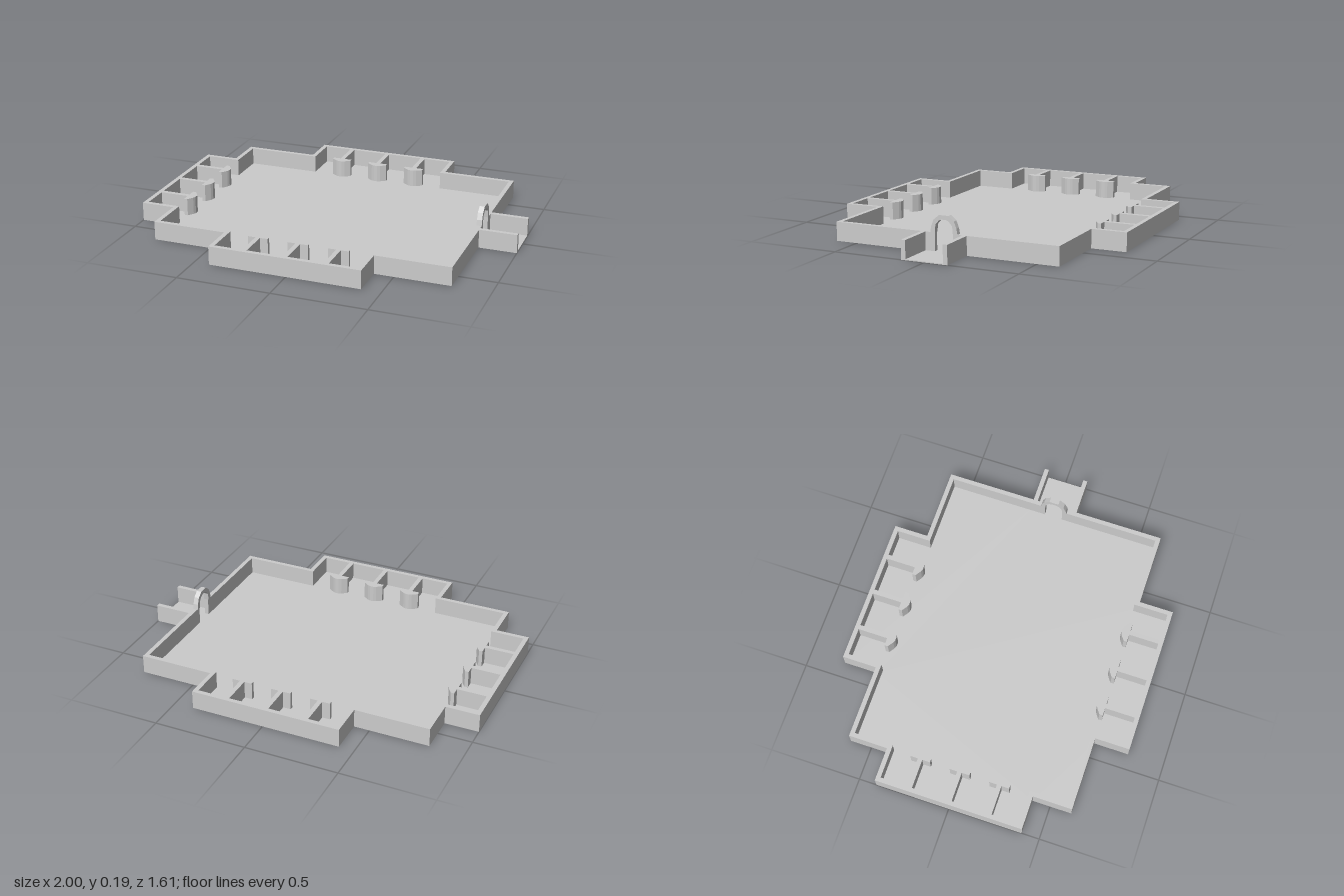
import * as THREE from 'three';

const FLOOR = 0.005, TOP = 0.1, T = 0.024, EAST = 0.797, MID = -0.0105;

export function createModel() {
  const group = new THREE.Group();
  group.name = 'walledHall';
  const material = new THREE.MeshStandardMaterial({ color: 0xcccccc, flatShading: true });

  const add = (name, geometry) => {
    const mesh = new THREE.Mesh(geometry, material);
    mesh.name = name;
    group.add(mesh);
    return mesh;
  };
  const toShape = (points) => new THREE.Shape(points.map(([a, b]) => new THREE.Vector2(a, b)));
  // Extrudes a plan outline of [x, z] points upward from y0 to y1
  const slab = (points, y0, y1) =>
    new THREE.ExtrudeGeometry(toShape(points.map(([x, z]) => [x, -z])), { depth: y1 - y0, bevelEnabled: false })
      .rotateX(-Math.PI / 2)
      .translate(0, y0, 0);
  const mirrored = (points) => [...points, ...points.map(([x, z]) => [x, -z]).reverse()];

  // Half of the stepped outline, from the doorway round to the west alcove
  const outer = [
    [EAST, 0.05], [EAST, 0.617], [0.396, 0.617], [0.396, 0.805], [-0.417, 0.805],
    [-0.417, 0.617], [-0.818, 0.617], [-0.818, 0.404], [-1, 0.404],
  ];
  const inner = outer.map(([x, z], i) => [x - Math.sign(x) * T, i ? z - T : z]);

  // Floor, including the porch
  add('floor', slab(mirrored([[1, 0.126], [EAST, 0.126], ...outer.slice(1)]), 0, FLOOR));

  // Outer wall, broken by the doorway on the east side
  add('outerWall', slab([...mirrored(outer), ...mirrored(inner).reverse()], FLOOR, TOP));

  // Porch side walls
  for (const s of [1, -1]) {
    add('porchWall', new THREE.BoxGeometry(1 - EAST, TOP - FLOOR, T))
      .position.set((1 + EAST) / 2, (TOP + FLOOR) / 2, s * 0.114);
  }

  // Alcove divider: thin stem ending in a wide cap with a rounded nose (local +z faces the hall)
  const dividerHalf = [[0.0125, -0.17], [0.0125, 0], [0.055, 0], [0.055, 0.019], [0.025, 0.04], [0.01, 0.046]];
  const divider = slab(
    [...dividerHalf, ...dividerHalf.map(([x, z]) => [-x, z]).reverse()].reverse(), FLOOR, TOP);
  for (const offset of [-0.219, 0, 0.219]) {
    add('backDivider', divider).position.set(MID + offset, 0, -0.617);
    const front = add('frontDivider', divider);
    front.position.set(MID + offset, 0, 0.617);
    front.rotation.y = Math.PI;
    const side = add('sideDivider', divider);
    side.position.set(-0.818, 0, offset);
    side.rotation.y = Math.PI / 2;
  }

  // Faceted arch over the doorway
  const archOuter = [[0.075, TOP], [0.07, 0.13], [0.056, 0.165], [0.026, 0.19]];
  const archInner = [[0.05, TOP], [0.046, 0.14], [0.027, 0.162], [0.012, 0.168]];
  const span = (half) => [...half, ...half.map(([z, y]) => [-z, y]).reverse()];
  add('doorArch',
    new THREE.ExtrudeGeometry(toShape([...span(archOuter), ...span(archInner).reverse()]),
      { depth: 0.028, bevelEnabled: false })
      .rotateY(Math.PI / 2)
      .translate(0.769, 0, 0));

  return group;
}
